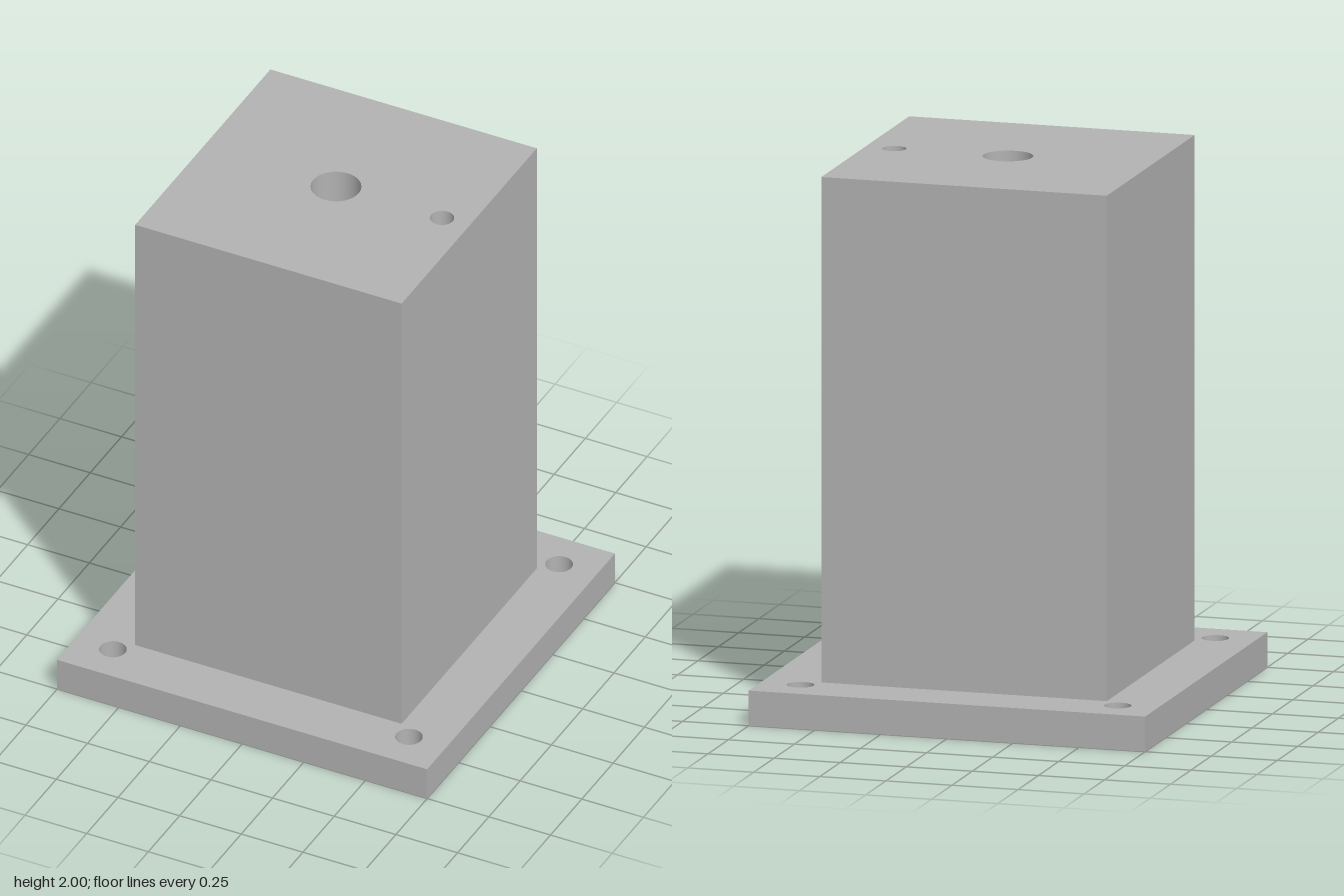
import * as THREE from 'three';

const ROUND = 48;

// Regular loop; squares are given by their half side.
const square = (half) => ({ r: half * Math.SQRT2, sides: 4, phi: Math.PI / 4, x: 0, z: 0 });
const hexagon = (r) => ({ r, sides: 6, phi: 0, x: 0, z: 0 });
const circle = (r, x = 0, z = 0) => ({ r, sides: ROUND, phi: 0, x, z });

function loopPoints({ r, sides, phi, x, z }) {
  return Array.from({ length: sides }, (_, i) => {
    const a = phi + (i / sides) * Math.PI * 2;
    return new THREE.Vector2(x + r * Math.sin(a), -z + r * Math.cos(a));
  });
}

// Upright wall along a loop: rising faces outward, falling faces inward.
function wall(loop, from, to) {
  const profile = [new THREE.Vector2(loop.r, from), new THREE.Vector2(loop.r, to)];
  let g = new THREE.LatheGeometry(profile, loop.sides, loop.phi);
  if (loop.sides < ROUND) {
    g = g.toNonIndexed();
    g.computeVertexNormals();
  }
  return g.translate(loop.x, 0, loop.z);
}

// Flat horizontal face with openings, facing up or down.
function face(outline, holes, y, up = true) {
  const shape = new THREE.Shape(loopPoints(outline));
  for (const h of holes) shape.holes.push(new THREE.Path(loopPoints(h)));
  return new THREE.ShapeGeometry(shape).rotateX(up ? -Math.PI / 2 : Math.PI / 2).translate(0, y, 0);
}

export function createModel() {
  const grey = new THREE.MeshStandardMaterial({ color: 0xb2b2b2 });
  grey.name = 'grey';
  const model = new THREE.Group();
  model.name = 'pedestal';

  const group = (name) => {
    const g = new THREE.Group();
    g.name = name;
    model.add(g);
    return g;
  };
  const add = (parent, name, geometry) => {
    const mesh = new THREE.Mesh(geometry, grey);
    mesh.name = name;
    parent.add(mesh);
  };

  const plateTop = 0.13, top = 2, pocketTop = 0.25, pinFloor = 1.8;
  const plate = square(0.75), column = square(0.54);
  const pocket = hexagon(0.158), bore = circle(0.092), pin = circle(0.044, 0.43, 0);
  const screws = [];
  for (const x of [-0.6, 0.6]) for (const z of [-0.6, 0.6]) screws.push(circle(0.05, x, z));

  // Base plate with four screw holes
  const base = group('basePlate');
  add(base, 'plateSides', wall(plate, 0, plateTop));
  add(base, 'plateTop', face(plate, [column, ...screws], plateTop));
  add(base, 'plateUnderside', face(plate, [pocket, ...screws], 0, false));
  for (const s of screws) add(base, 'screwHole', wall(s, plateTop, 0));

  // Square column with its pierced top
  const post = group('column');
  add(post, 'columnSides', wall(column, plateTop, top));
  add(post, 'columnTop', face(column, [bore, pin], top));

  // Central bore opening into a hexagonal pocket below
  const shaft = group('boltShaft');
  add(shaft, 'boreWall', wall(bore, top, pocketTop));
  add(shaft, 'hexPocketWall', wall(pocket, pocketTop, 0));
  add(shaft, 'hexPocketCeiling', face(pocket, [bore], pocketTop, false));

  // Blind locating hole
  const pinHole = group('pinHole');
  add(pinHole, 'pinHoleWall', wall(pin, top, pinFloor));
  add(pinHole, 'pinHoleFloor', face(pin, [], pinFloor));

  return model;
}
